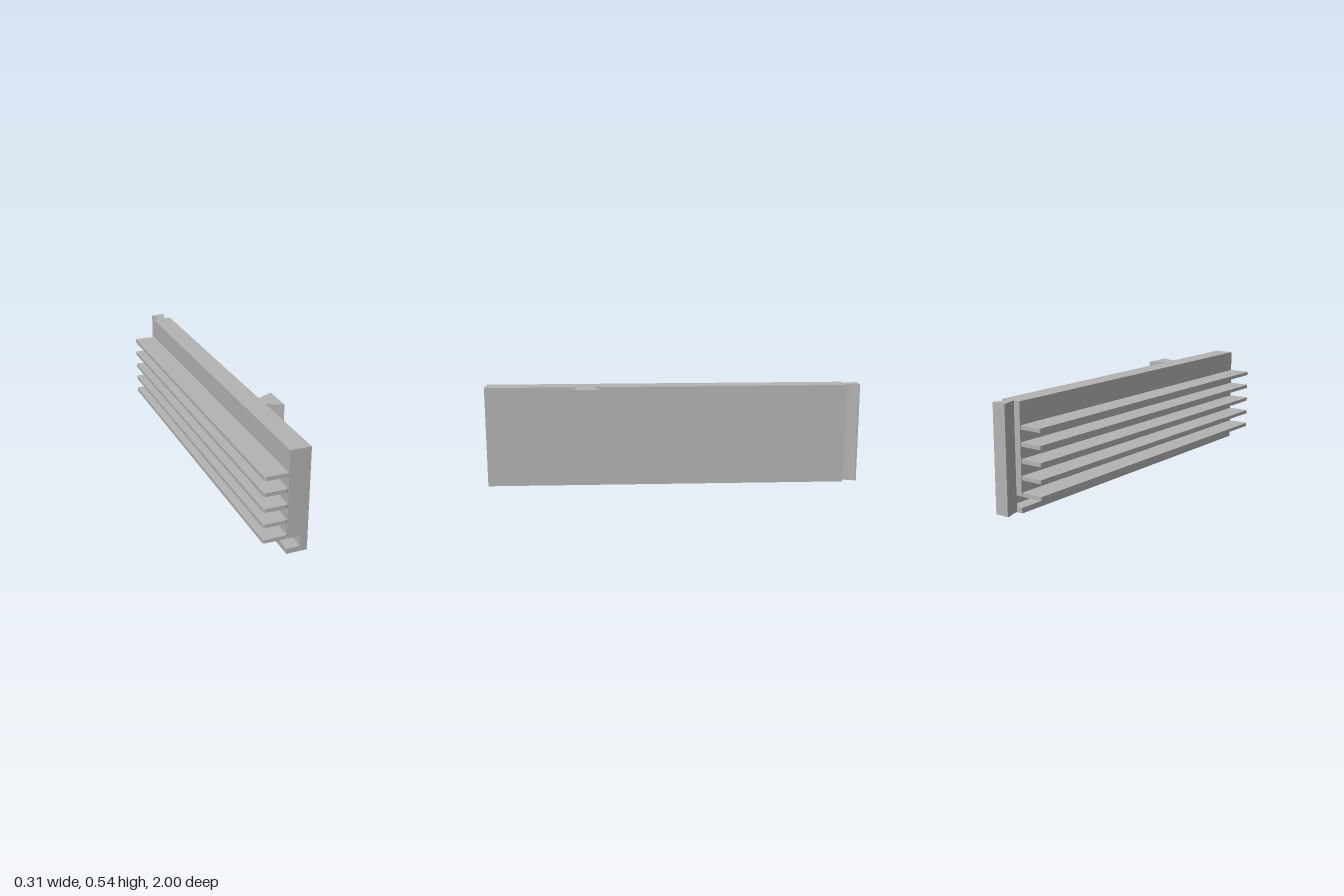
import * as THREE from 'three';

const grey = new THREE.MeshStandardMaterial({ color: 0xb3b3b3 });
grey.name = 'grey';

const polygon = (points) => new THREE.Shape(points.map(([x, y]) => new THREE.Vector2(x, y)));

// Extrudes a plan drawn in (x, -z) upwards from y0 to y1.
function plate(name, shape, y0, y1) {
  const geometry = new THREE.ExtrudeGeometry(shape, { depth: y1 - y0, bevelEnabled: false, curveSegments: 6 });
  geometry.rotateX(-Math.PI / 2).translate(0, y0, 0);
  const mesh = new THREE.Mesh(geometry, grey);
  mesh.name = name;
  return mesh;
}

// Rectangle in plan with small rounded corners.
function roundedPlan(x0, x1, z0, z1, r) {
  const s = new THREE.Shape();
  s.moveTo(x0 + r, -z1);
  s.lineTo(x1 - r, -z1).quadraticCurveTo(x1, -z1, x1, -z1 + r);
  s.lineTo(x1, -z0 - r).quadraticCurveTo(x1, -z0, x1 - r, -z0);
  s.lineTo(x0 + r, -z0).quadraticCurveTo(x0, -z0, x0, -z0 - r);
  s.lineTo(x0, -z1 + r).quadraticCurveTo(x0, -z1, x0 + r, -z1);
  return s;
}

export function createModel() {
  const group = new THREE.Group();
  group.name = 'finnedPanel';
  const back = -0.92, left = -0.035, right = 0.071, top = 0.535;

  // Long panel with a square groove low on the fin side
  const section = polygon([
    [left, 0], [right, 0], [right, top], [left, top],
    [left, 0.082], [0.035, 0.082], [0.035, 0.027], [left, 0.027],
  ]);
  const panel = new THREE.Mesh(
    new THREE.ExtrudeGeometry(section, { depth: 1 - back, bevelEnabled: false }).translate(0, 0, back), grey);
  panel.name = 'panel';
  group.add(panel);

  // Five horizontal fins
  const finPlan = roundedPlan(-0.155, left, back, 1, 0.01);
  for (let i = 0; i < 5; i++) {
    const y = 0.082 + i * 0.0805;
    group.add(plate('fin' + (i + 1), finPlan, y, y + 0.019));
  }

  // Straight dovetail rail on the broad face
  const rail = polygon([[right, -0.504], [0.155, -0.545], [0.155, -0.385], [right, -0.425]]);
  group.add(plate('sideDovetail', rail, 0.055, top));

  // Curved dovetail on the back end
  const mid = 0.018;
  const tail = new THREE.Shape();
  tail.moveTo(mid - 0.019, -back);
  tail.lineTo(mid + 0.019, -back);
  tail.quadraticCurveTo(mid + 0.019, 0.945, mid + 0.037, 0.99);
  tail.lineTo(mid + 0.037, 1);
  tail.lineTo(mid - 0.037, 1);
  tail.lineTo(mid - 0.037, 0.99);
  tail.quadraticCurveTo(mid - 0.019, 0.945, mid - 0.019, -back);
  group.add(plate('backDovetail', tail, 0, top));

  return group;
}
